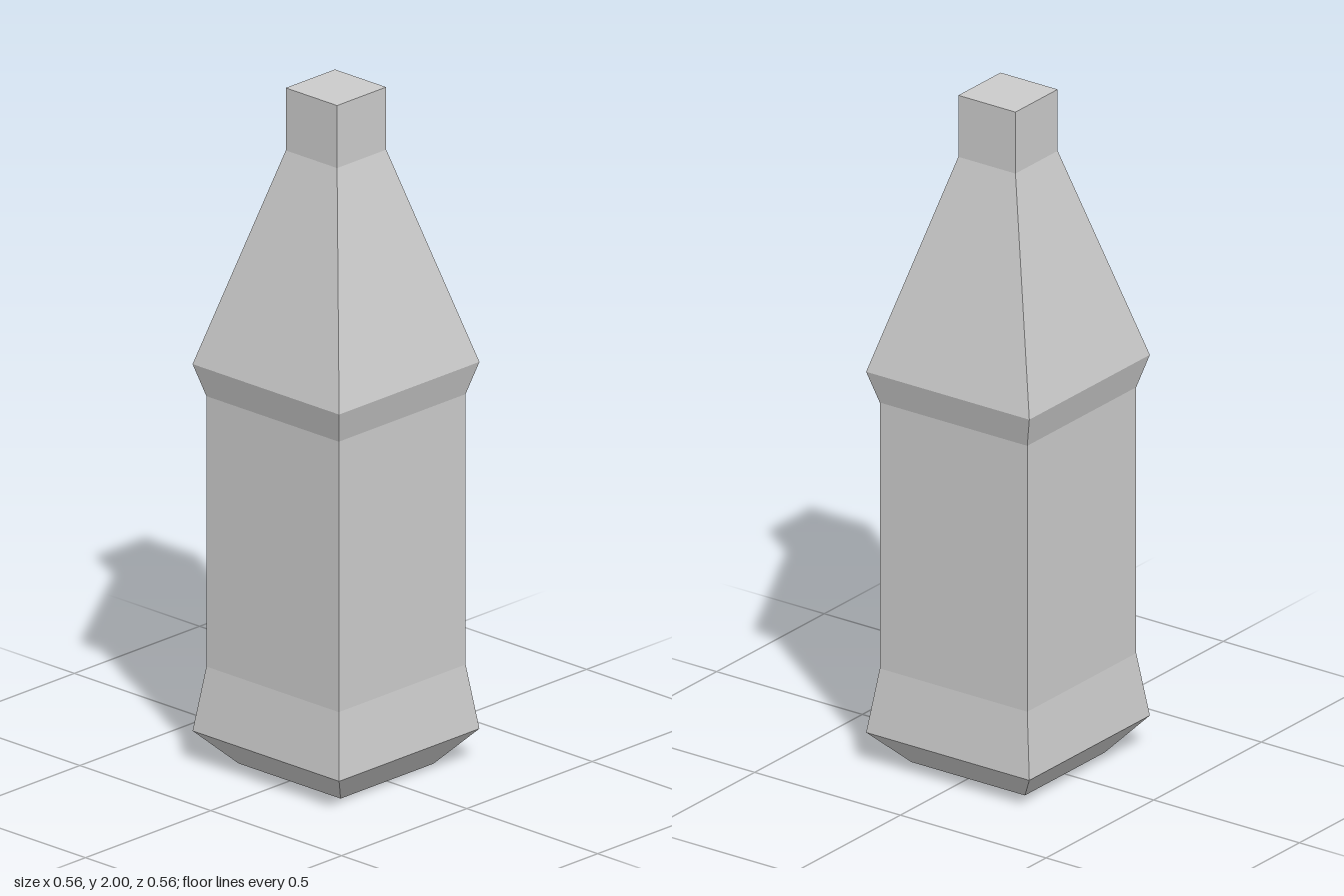
import * as THREE from 'three';

export function createModel() {
  const group = new THREE.Group();

  // half-width and height of each square section, from base to mouth
  const profile = [
    [0, 0], [0.195, 0], [0.28, 0.1], [0.253, 0.29], [0.253, 1.09],
    [0.28, 1.185], [0.098, 1.815], [0.098, 2], [0, 2],
  ].map(([w, y]) => new THREE.Vector2(w * Math.SQRT2, y));

  // four-sided bottle, turned so its faces look along x and z
  const geometry = new THREE.LatheGeometry(profile, 4, Math.PI / 4);

  // the base is slightly narrower in depth
  const pos = geometry.attributes.position;
  for (let i = 0; i < pos.count; i++) {
    if (pos.getY(i) === 0) pos.setZ(i, pos.getZ(i) * 0.95);
  }

  const bottle = new THREE.Mesh(
    geometry,
    new THREE.MeshStandardMaterial({ color: 0xcccccc, flatShading: true })
  );
  bottle.name = 'bottle';
  group.add(bottle);
  return group;
}
